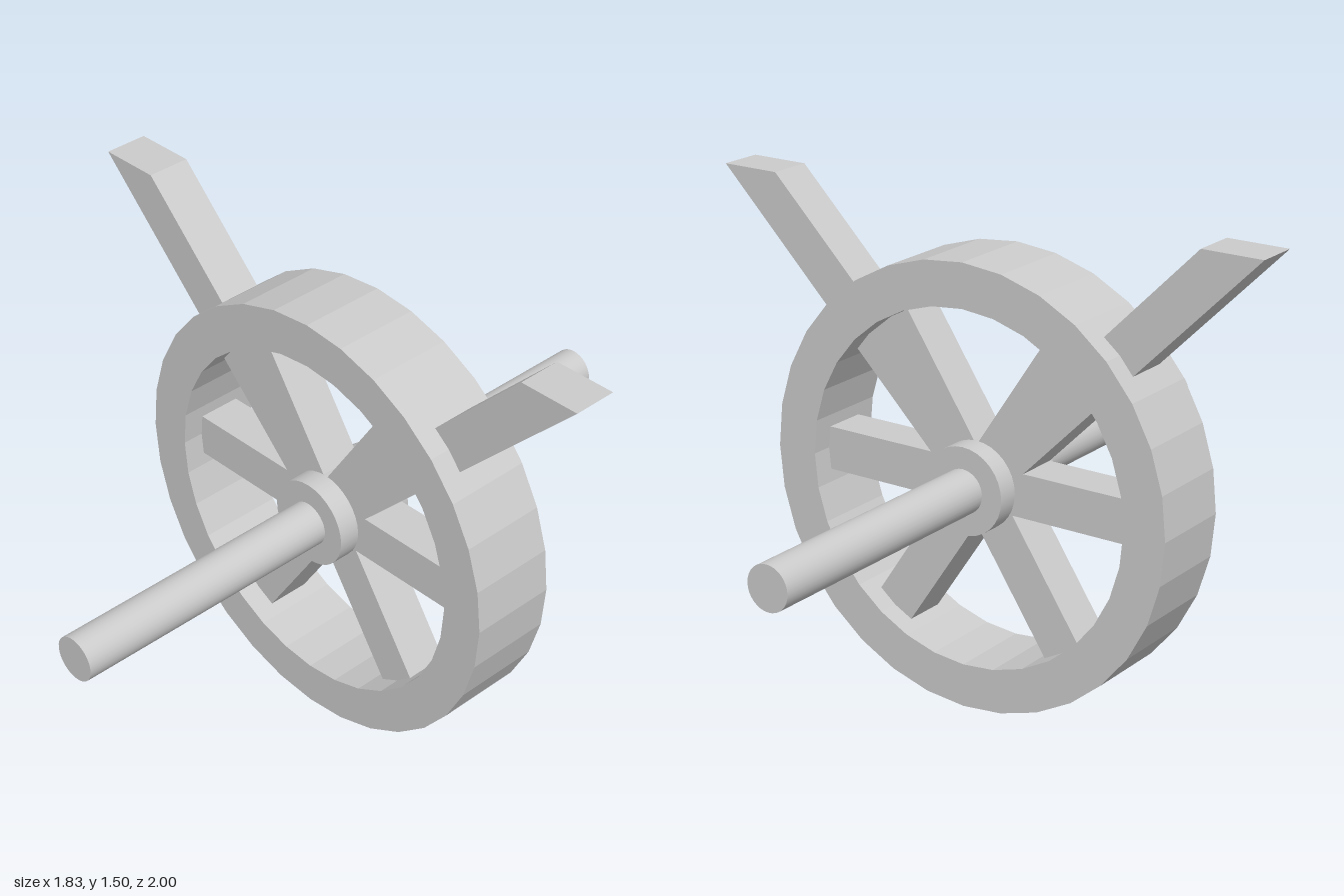
import * as THREE from 'three';

const HUB_Y = 0.68;      // height of the wheel centre
const WIDTH = 0.27;      // rim and hub width along z
const BEAM = 0.135;      // thickness of spokes and arms

export function createModel() {
  const model = new THREE.Group();
  const material = new THREE.MeshStandardMaterial({ color: 0xcccccc });

  const add = (name, geometry, y = HUB_Y) => {
    const mesh = new THREE.Mesh(geometry, material);
    mesh.name = name;
    mesh.position.y = y;
    model.add(mesh);
    return mesh;
  };

  const extrude = (shape, depth) =>
    new THREE.ExtrudeGeometry(shape, { depth, bevelEnabled: false, curveSegments: 16 })
      .translate(0, 0, -depth / 2);

  // Faceted 32-sided rim
  const ring = new THREE.Shape().absarc(0, 0, 0.68, 0, Math.PI * 2, false);
  ring.holes.push(new THREE.Path().absarc(0, 0, 0.545, 0, Math.PI * 2, true));
  add('rim', extrude(ring, WIDTH));

  // Hub and long axle along z
  add('hub', new THREE.CylinderGeometry(0.135, 0.135, WIDTH, 32).rotateX(Math.PI / 2));
  add('axle', new THREE.CylinderGeometry(0.068, 0.068, 2, 32).rotateX(Math.PI / 2));

  // Three bars through the hub make six spokes
  const slant = Math.atan(1.5);
  for (const angle of [0, slant, -slant]) {
    add('spokeBar', new THREE.BoxGeometry(1.16, BEAM, BEAM)).rotation.z = angle;
  }

  // Diagonal arms from the hub past the rim, cut level at the top
  const h = BEAM / 2 / Math.SQRT2;   // half thickness split over x and y
  const top = 1.5 - HUB_Y;
  for (const side of [1, -1]) {
    const arm = new THREE.Shape([
      [h, -h], [top + 2 * h, top], [top - 2 * h, top], [-h, h],
    ].map(([x, y]) => new THREE.Vector2(side * x, y)));
    add(side > 0 ? 'leftArm' : 'rightArm', extrude(arm, BEAM));
  }

  return model;
}
